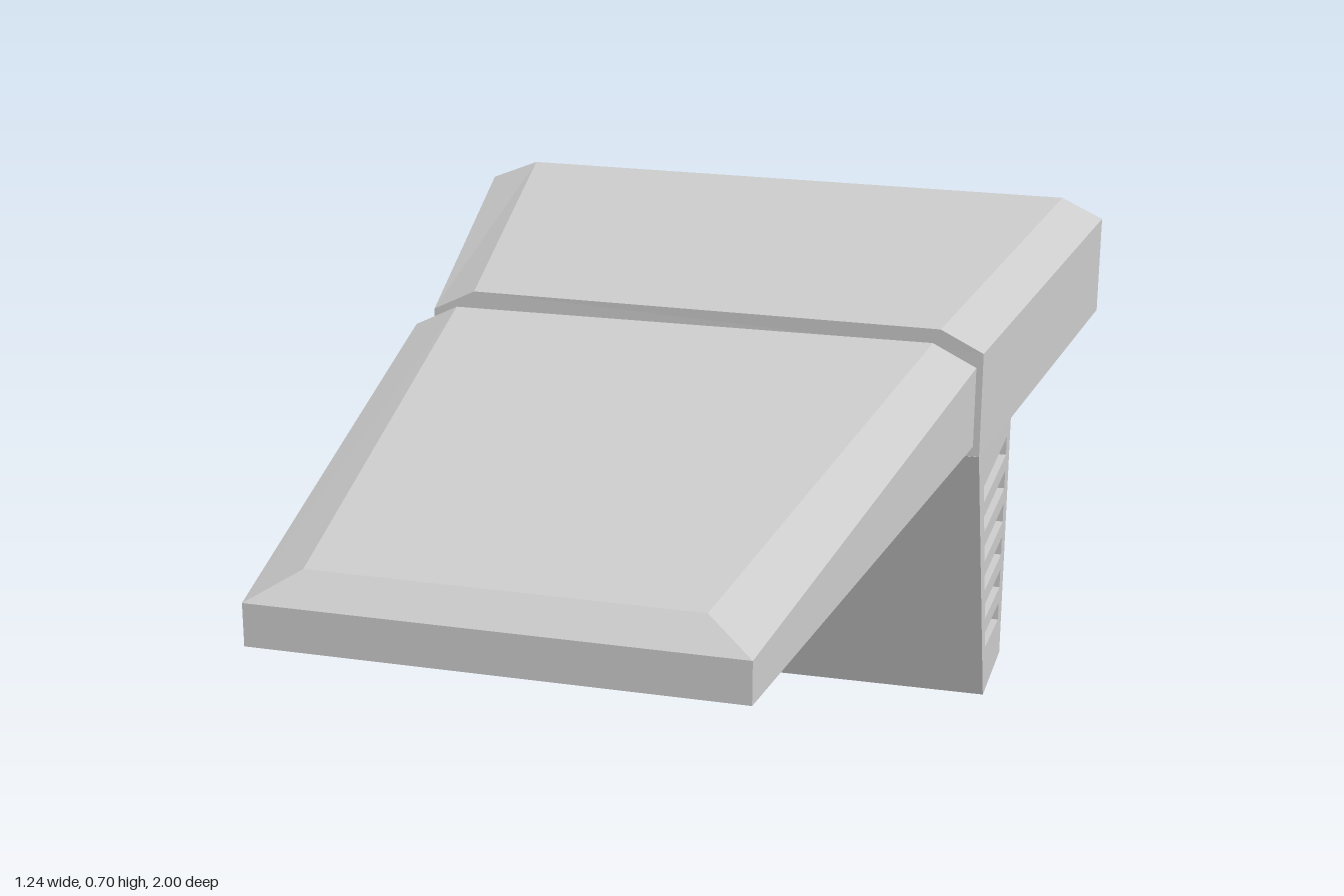
import * as THREE from 'three';

const material = new THREE.MeshStandardMaterial({ color: 0xcccccc, flatShading: true });

function addMesh(group, name, geometry) {
  const mesh = new THREE.Mesh(geometry, material);
  mesh.name = name;
  group.add(mesh);
  return mesh;
}

// Joins a rear and a front cross-section, each running up the +x side and down the -x side
function loft(rear, front) {
  const n = rear.length;
  const positions = [];
  const quad = (a, b, c, d) => positions.push(...a, ...b, ...c, ...a, ...c, ...d);
  for (let i = 0; i < n; i++) {
    const j = (i + 1) % n;
    quad(rear[i], rear[j], front[j], front[i]);
  }
  for (let i = 0; i < n / 2 - 1; i++) {
    quad(front[i], front[i + 1], front[n - 2 - i], front[n - 1 - i]);
    quad(rear[n - 1 - i], rear[n - 2 - i], rear[i + 1], rear[i]);
  }
  const geometry = new THREE.BufferGeometry();
  geometry.setAttribute('position', new THREE.Float32BufferAttribute(positions, 3));
  geometry.computeVertexNormals();
  return geometry;
}

// Each level is [right x, left x, y, right z, left z], from bottom to top
function section(levels) {
  const right = levels.map(([r, , y, zr]) => [r, y, zr]);
  const left = levels.map(([, l, y, zr, zl = zr]) => [l, y, zl]);
  return [...right, ...left.reverse()];
}

export function createModel() {
  const group = new THREE.Group();

  // Wide rear deck with bevelled upper edges and a leaning left side
  addMesh(group, 'rearDeck', loft(
    section([
      [0.615, -0.62, 0.495, -0.993, -1],
      [0.615, -0.565, 0.67, -0.993, -1],
      [0.54, -0.48, 0.705, -0.993, -1],
    ]),
    section([
      [0.53, -0.39, 0.495, -0.121, -0.129],
      [0.53, -0.39, 0.67, -0.121, -0.129],
      [0.46, -0.32, 0.705, -0.121, -0.129],
    ]),
  ));

  // Tapering front deck, thinning toward a chamfered nose
  addMesh(group, 'frontDeck', loft(
    section([
      [0.53, -0.39, 0.54, -0.047, -0.039],
      [0.53, -0.39, 0.67, -0.047, -0.039],
      [0.46, -0.32, 0.705, -0.047, -0.039],
    ]),
    section([
      [0.415, -0.275, 0.54, 0.995, 0.987],
      [0.415, -0.275, 0.602, 0.995, 0.987],
      [0.345, -0.205, 0.64, 0.948, 0.942],
    ]),
  ));

  // Bridge between the decks
  const bridge = addMesh(group, 'bridge', new THREE.BoxGeometry(0.525, 0.095, 0.12));
  bridge.position.set(0.0625, 0.6225, -0.085);

  // Pedestal under the rear deck, behind its vented side panel
  const panelDepth = 0.03;
  const innerX = 0.53 - panelDepth;
  addMesh(group, 'pedestal', loft(
    section([[innerX, -0.18, 0, -0.49], [innerX, -0.39, 0.497, -0.49]]),
    section([[innerX, -0.18, 0, -0.3], [innerX, -0.39, 0.497, -0.12]]),
  ));

  // Side panel with six vent slots; shape x runs toward the rear
  const polygon = (points, Type) => new Type(points.map(([x, y]) => new THREE.Vector2(x, y)));
  const panel = polygon([[0.3, 0], [0.49, 0], [0.49, 0.497], [0.12, 0.497]], THREE.Shape);
  for (let i = 0; i < 6; i++) {
    const top = 0.42 - i * 0.06;
    const start = 0.193 + i * 0.0195;
    const drop = i * 0.0016;
    panel.holes.push(polygon([
      [start, top],
      [0.45, top - drop],
      [0.45, top - drop - 0.033],
      [start + 0.011, top - 0.031],
    ], THREE.Path));
  }
  const ventPanel = addMesh(group, 'ventPanel',
    new THREE.ExtrudeGeometry(panel, { depth: panelDepth, bevelEnabled: false }));
  ventPanel.rotation.y = Math.PI / 2;
  ventPanel.position.x = innerX;

  return group;
}
